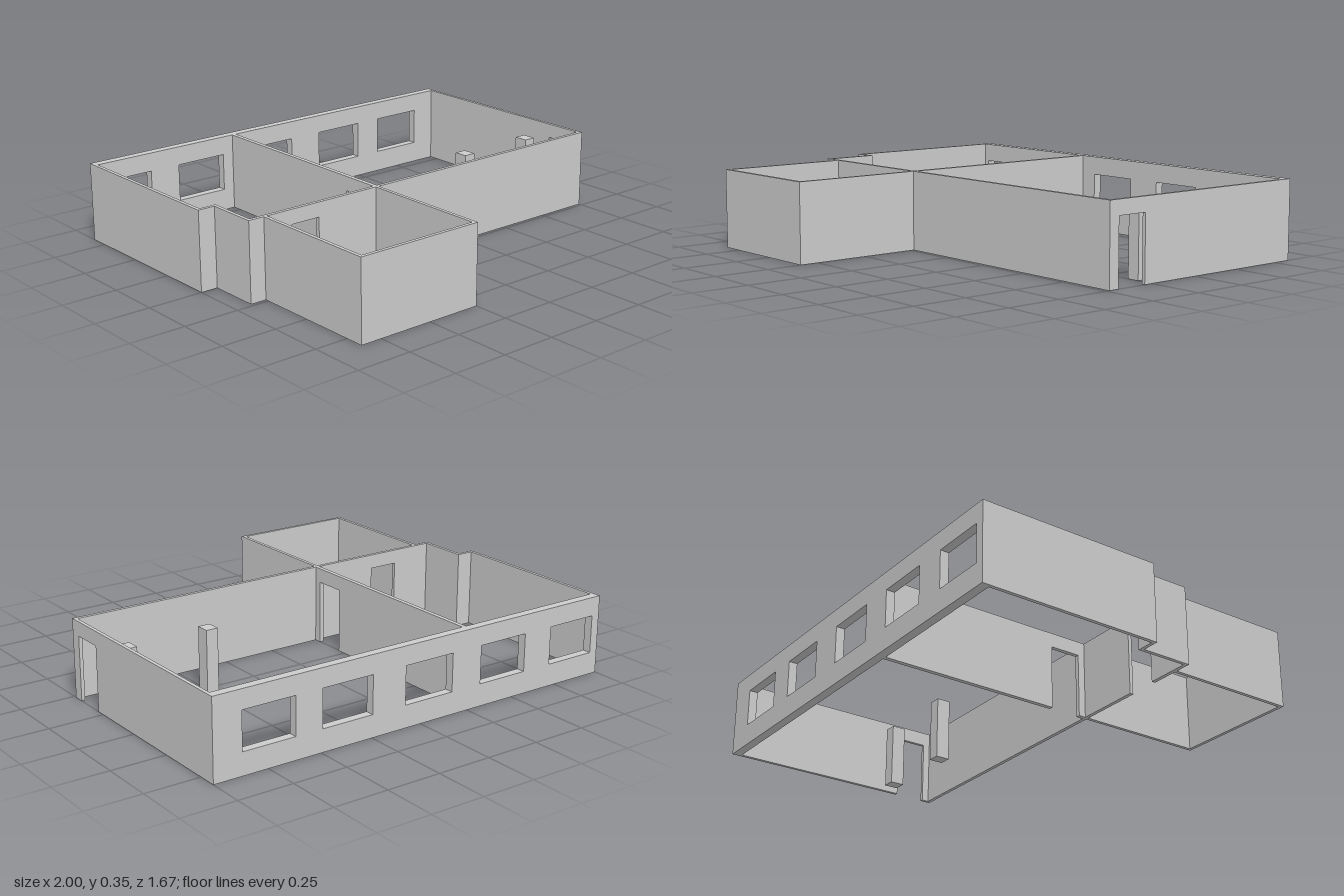
import * as THREE from 'three';

const H = 0.355;   // wall height
const T = 0.016;   // thin wall thickness
const DOOR = 0.29; // door height

export function createModel() {
  const group = new THREE.Group();
  const material = new THREE.MeshStandardMaterial({ color: 0xcccccc, flatShading: true });

  // Upright wall from a to b, with door notches [from, to] and window holes [from, to, sill, head]
  function wallGeometry(a, b, thickness, doors, windows) {
    const shape = new THREE.Shape();
    shape.moveTo(a, 0);
    for (const [d0, d1] of doors) {
      shape.lineTo(d0, 0);
      shape.lineTo(d0, DOOR);
      shape.lineTo(d1, DOOR);
      shape.lineTo(d1, 0);
    }
    shape.lineTo(b, 0);
    shape.lineTo(b, H);
    shape.lineTo(a, H);
    shape.closePath();
    for (const [x0, x1, y0, y1] of windows) {
      const hole = new THREE.Path();
      hole.moveTo(x0, y0);
      hole.lineTo(x0, y1);
      hole.lineTo(x1, y1);
      hole.lineTo(x1, y0);
      hole.closePath();
      shape.holes.push(hole);
    }
    return new THREE.ExtrudeGeometry(shape, { depth: thickness, bevelEnabled: false });
  }

  function add(name, geometry) {
    const mesh = new THREE.Mesh(geometry, material);
    mesh.name = name;
    group.add(mesh);
  }

  // Wall running along x, its back face at z
  function wallX(name, x0, x1, z, { t = T, doors = [], windows = [] } = {}) {
    add(name, wallGeometry(x0, x1, t, doors, windows).translate(0, 0, z));
  }

  // Wall running along z, its lower-x face at x
  function wallZ(name, z0, z1, x, { t = T, doors = [], windows = [] } = {}) {
    add(name, wallGeometry(z0, z1, t, doors, windows).rotateY(-Math.PI / 2).translate(x + t, 0, 0));
  }

  // Thick back wall with five windows
  const windows = [-0.837, -0.443, -0.043, 0.37, 0.745].map((c) => [c - 0.123, c + 0.123, 0.1, 0.27]);
  wallX('backWall', -1, 1, -0.836, { t: 0.04, windows });

  // Main hall and side room
  const sideDoor = [[0.04, 0.185]];
  wallZ('leftWall', -0.796, 0.218, 1 - T, { doors: sideDoor });
  wallZ('dividingWall', -0.796, 0.218, -0.266, { t: 0.02, doors: sideDoor });
  wallX('frontWall', -0.922, 1, 0.218, { t: 0.017, doors: [[-0.71, -0.57]] });
  wallZ('rightWall', -0.796, -T, -1);
  wallX('stepWall', -1, -0.922 + T, -T);
  wallZ('recessedRightWall', 0, 0.218, -0.922);

  // Projecting front room
  wallZ('frontRoomRightWall', 0.235, 0.82, -0.848);
  wallZ('frontRoomLeftWall', 0.235, 0.82, -0.266);
  wallX('frontRoomFrontWall', -0.848, -0.25, 0.82);

  // Free-standing columns
  for (const x of [0.503, 0.895]) {
    add('column', new THREE.BoxGeometry(0.057, DOOR, 0.065).translate(x, DOOR / 2, -0.033));
  }

  return group;
}
